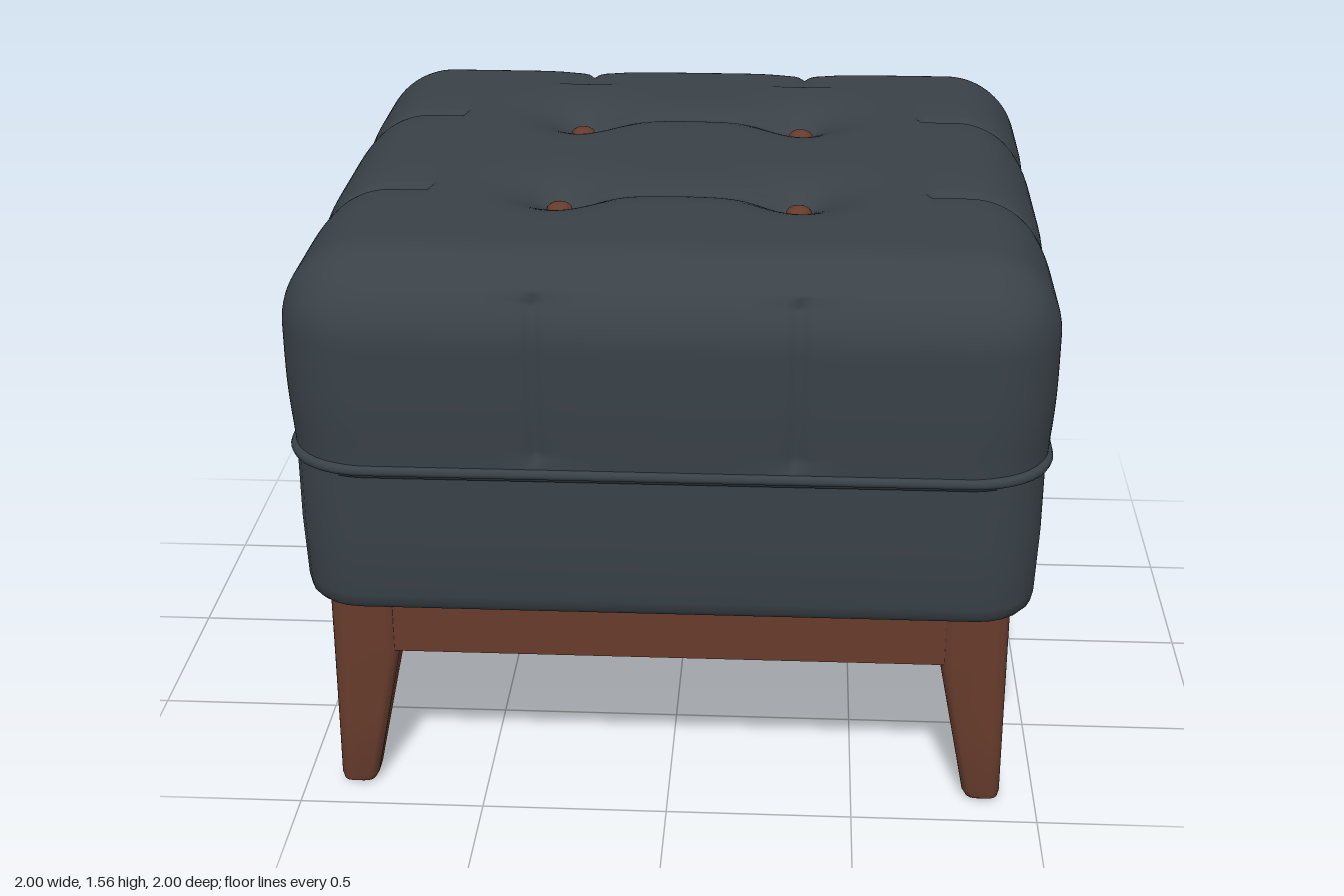
import * as THREE from 'three';
import { mergeVertices, toCreasedNormals } from 'three/addons/utils/BufferGeometryUtils.js';

const upholstery = new THREE.MeshStandardMaterial({ name: 'charcoal upholstery', color: 0x3a4248 });
const wood = new THREE.MeshStandardMaterial({ name: 'brown wood', color: 0x663b2c });

const SEAM_X = 0.333;
const BUTTON_ROWS = [-0.355, 0.345];
const bell = (d, w) => Math.exp(-(d * d) / (w * w));

// Points of a rounded square, running from +x towards +z
function roundedSquare(half, r, steps = 6) {
  const pts = [];
  [[1, 1], [-1, 1], [-1, -1], [1, -1]].forEach(([sx, sz], k) => {
    for (let i = 0; i <= steps; i++) {
      const a = (k + i / steps) * Math.PI / 2;
      pts.push([sx * (half - r) + r * Math.cos(a), sz * (half - r) + r * Math.sin(a)]);
    }
  });
  return pts;
}

// Capped loft through rounded squares: [y, half size, corner radius, centre offset x and z]
function loft(sections) {
  const pos = [], idx = [];
  let n = 0;
  for (const [y, half, r, c = [0, 0]] of sections) {
    const ring = roundedSquare(half, r);
    n = ring.length;
    ring.forEach(([x, z]) => pos.push(x + c[0], y, z + c[1]));
  }
  const rows = sections.length, bottom = rows * n, top = bottom + 1;
  for (const [y, , , c = [0, 0]] of [sections[0], sections[rows - 1]]) pos.push(c[0], y, c[1]);
  for (let j = 0; j < n; j++) {
    const k = (j + 1) % n;
    for (let i = 0; i < rows - 1; i++) {
      const a = i * n + j, b = i * n + k;
      idx.push(a, a + n, b + n, a, b + n, b);
    }
    idx.push(bottom, j, k, top, (rows - 1) * n + k, (rows - 1) * n + j);
  }
  const g = new THREE.BufferGeometry();
  g.setAttribute('position', new THREE.Float32BufferAttribute(pos, 3));
  g.setIndex(idx);
  return toCreasedNormals(g, 0.7);
}

// Rounded, tufted cushion: a fine box with rounded edges, pressed in at seams and buttons
function cushionGeometry() {
  const r = 0.22, low = 0.98, high = 1.56;
  let g = new THREE.BoxGeometry(2, high - low, 2, 120, 28, 120);
  g.translate(0, (low + high) / 2, 0);
  g.deleteAttribute('normal');
  g.deleteAttribute('uv');
  g = mergeVertices(g, 1e-4);
  const pos = g.attributes.position;
  const p = new THREE.Vector3(), q = new THREE.Vector3(), n = new THREE.Vector3();
  const clamp = THREE.MathUtils.clamp;
  for (let i = 0; i < pos.count; i++) {
    p.fromBufferAttribute(pos, i);
    q.set(clamp(p.x, r - 1, 1 - r), Math.min(p.y, high - r), clamp(p.z, r - 1, 1 - r));
    n.subVectors(p, q);
    const reach = Math.max(Math.abs(n.x), Math.abs(n.y), Math.abs(n.z));
    n.normalize();
    p.copy(q).addScaledVector(n, reach);
    const { x, y, z } = p;

    // Short stitched seams over the edges and sides
    let press = 0;
    const dx = Math.abs(x) - SEAM_X;
    const dz = Math.min(...BUTTON_ROWS.map((b) => Math.abs(z - b)));
    if (y > 1.03) {
      if (z < -0.68 || (z > 0.9 && y < 1.47)) press += 0.013 * bell(dx, 0.014) + 0.008 * bell(dx, 0.09);
      if (Math.abs(x) > 0.68) press += 0.013 * bell(dz, 0.014) + 0.008 * bell(dz, 0.09);
    }
    // Button dimples and the folds joining them
    if (n.y > 0.9) {
      press += 0.045 * bell(Math.hypot(dx, dz), 0.13);
      const fold = THREE.MathUtils.smoothstep(0.42 - Math.abs(x), 0, 0.12);
      press += fold * (0.016 * bell(dz, 0.07) + 0.008 * bell(dz, 0.016));
      press += 0.01 * bell(dx, 0.1) * bell(Math.max(0, Math.abs(z) - 0.35), 0.2);
    }
    p.addScaledVector(n, -press);
    // Sides tuck in towards the piping
    const tuck = 1 - 0.013 * bell(y - low, 0.14);
    pos.setXYZ(i, p.x * tuck, p.y, p.z * tuck);
  }
  g.computeVertexNormals();
  return g;
}

export function createModel() {
  const model = new THREE.Group();
  model.name = 'ottoman';
  const add = (name, geometry, material) => {
    const mesh = new THREE.Mesh(geometry, material);
    mesh.name = name;
    model.add(mesh);
    return mesh;
  };

  // Upholstered body
  add('cushion', cushionGeometry(), upholstery);
  add('upholsteredBase', loft([
    [0.58, 0.93, 0.13], [0.585, 0.95, 0.14], [0.6, 0.963, 0.15], [0.63, 0.97, 0.16],
    [0.8, 0.978, 0.17], [0.99, 0.98, 0.18],
  ]), upholstery);

  // Piping between base and cushion
  const path = new THREE.CurvePath();
  const outline = roundedSquare(0.985, 0.2, 8).map(([x, z]) => new THREE.Vector3(x, 1.0, z));
  outline.forEach((v, i) => path.add(new THREE.LineCurve3(v, outline[(i + 1) % outline.length])));
  add('piping', new THREE.TubeGeometry(path, 240, 0.015, 8, true), upholstery);

  // Buttons
  for (const z of BUTTON_ROWS) {
    for (const x of [-0.325, 0.325]) {
      const button = add('button', new THREE.SphereGeometry(0.035, 16, 10), wood);
      button.scale.y = 0.6;
      button.position.set(x, 1.495, z);
    }
  }

  // Tapered legs with a straight outer corner
  const outer = 0.905;
  for (const sx of [-1, 1]) {
    for (const sz of [-1, 1]) {
      const section = (y, inner, r, inset = 0) => {
        const half = (outer - inner) / 2, c = (outer + inner) / 2;
        return [y, half - inset, r, [sx * c, sz * c]];
      };
      add('leg', loft([
        section(0.003, 0.812, 0.02, 0.014), section(0.01, 0.81, 0.025, 0.004), section(0.03, 0.803, 0.025),
        section(0.2, 0.77, 0.028), section(0.4, 0.731, 0.03), section(0.425, 0.727, 0.03), section(0.6, 0.727, 0.03),
      ]), wood);
    }
  }

  // Rails between the legs
  for (let i = 0; i < 4; i++) {
    const a = i * Math.PI / 2;
    const rail = add('rail', new THREE.BoxGeometry(1.5, 0.17, 0.1), wood);
    rail.position.set(Math.sin(a) * 0.848, 0.508, Math.cos(a) * 0.848);
    rail.rotation.y = a;
  }

  // Panel closing the underside
  const panel = add('bottomPanel', new THREE.BoxGeometry(1.64, 0.12, 1.64), wood);
  panel.position.y = 0.51;
  return model;
}
